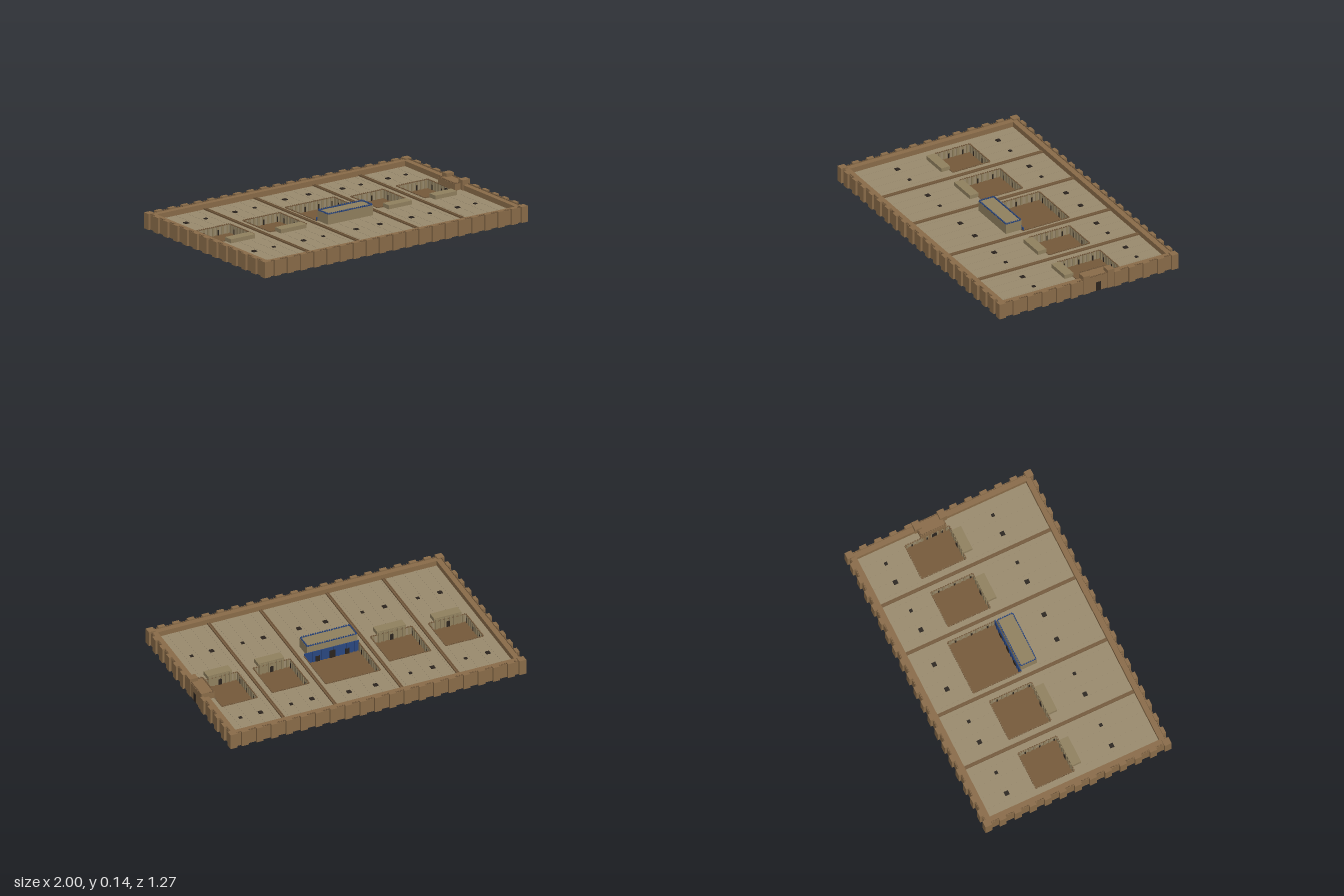
import * as THREE from 'three';
import { mergeGeometries } from 'three/addons/utils/BufferGeometryUtils.js';

const COLORS = {
  wall: 0x8a6c49, trim: 0x775c3e, roof: 0x9a8b6e, floor: 0x765a3a,
  facade: 0x91815f, dark: 0x2b241e, blue: 0x2a4780, base: 0x4c3a28, slab: 0x77746a,
};
const ROOF = 0.06;            // roof level
const WX = 0.985, WZ = 0.622; // outer faces of the enclosure
const T = 0.042;              // enclosure thickness

// Court bounds, the hall at its south side, and vent positions on the roof
const UNITS = [
  { court: [-0.89, -0.635, -0.24, 0.025], hall: [-0.86, -0.675, 0.085], vents: [-0.84, -0.69], vz: -0.415 },
  { court: [-0.53, -0.25, -0.25, 0.04], hall: [-0.49, -0.295, 0.1], vents: [-0.465, -0.315], vz: -0.42 },
  { court: [-0.16, 0.21, -0.315, 0.015], hall: [-0.15, 0.19, 0.125], vents: [-0.065, 0.115], vz: -0.45, throne: true },
  { court: [0.3, 0.55, -0.265, 0.025], hall: [0.34, 0.515, 0.085], vents: [0.355, 0.495], vz: -0.425 },
  { court: [0.655, 0.895, -0.275, 0.03], hall: [0.69, 0.855, 0.09], vents: [0.705, 0.84], vz: -0.43 },
];
const PARTITIONS = [-0.58, -0.2, 0.25, 0.6];

// Box from min/max bounds
function box(x0, x1, y0, y1, z0, z1) {
  return new THREE.BoxGeometry(x1 - x0, y1 - y0, z1 - z0)
    .translate((x0 + x1) / 2, (y0 + y1) / 2, (z0 + z1) / 2);
}

// Row of stepped merlons from (xa, za) to (xb, zb), standing on y
function merlons(xa, za, xb, zb, y, h = 0.008, pitch = 0.018, d = 0.006) {
  const alongX = Math.abs(xb - xa) > Math.abs(zb - za);
  const len = Math.hypot(xb - xa, zb - za), n = Math.max(1, Math.round(len / pitch)), out = [];
  for (let i = 0; i < n; i++) {
    const t = (i + 0.5) / n, x = xa + (xb - xa) * t, z = za + (zb - za) * t;
    for (const [w, y0, y1] of [[0.72, 0, 0.55], [0.32, 0.55, 1]]) {
      const a = (len / n) * w / 2, hx = alongX ? a : d / 2, hz = alongX ? d / 2 : a;
      out.push(box(x - hx, x + hx, y + h * y0, y + h * y1, z - hz, z + hz));
    }
  }
  return out;
}

// Merlons around a rectangle
function merlonRing(x0, x1, z0, z1, y, h, pitch) {
  return [
    ...merlons(x0, z0, x1, z0, y, h, pitch), ...merlons(x0, z1, x1, z1, y, h, pitch),
    ...merlons(x0, z0, x0, z1, y, h, pitch), ...merlons(x1, z0, x1, z1, y, h, pitch),
  ];
}

export function createModel() {
  const group = new THREE.Group();
  group.name = 'palaceCompound';
  const mats = {};
  for (const k in COLORS) mats[k] = new THREE.MeshStandardMaterial({ color: COLORS[k] });
  const add = (name, mat, geos, parent = group) => {
    const mesh = new THREE.Mesh(mergeGeometries(geos), mats[mat]);
    mesh.name = name;
    parent.add(mesh);
  };

  // Ground slab and roof block with the courts cut out
  add('groundSlab', 'base', [box(-WX + 0.01, WX - 0.01, 0.001, 0.003, -WZ + 0.01, WZ - 0.01)]);
  const rx = WX - T / 2, rz = WZ - T / 2;
  const shape = new THREE.Shape([[-rx, -rz], [rx, -rz], [rx, rz], [-rx, rz]].map(p => new THREE.Vector2(...p)));
  for (const { court: [x0, x1, z0, z1] } of UNITS) {
    shape.holes.push(new THREE.Path([[x0, -z0], [x0, -z1], [x1, -z1], [x1, -z0]].map(p => new THREE.Vector2(...p))));
  }
  const roof = new THREE.ExtrudeGeometry(shape, { depth: ROOF - 0.003, bevelEnabled: false });
  roof.rotateX(-Math.PI / 2).translate(0, 0.003, 0);
  add('roof', 'roof', [roof]);

  // Low roof ribs, broken where they meet a court or hall
  const ribs = [];
  for (let x = -0.88; x < 0.92; x += 0.08) {
    const hit = UNITS.find(u => x > u.court[0] - 0.012 && x < u.court[1] + 0.012);
    const spans = hit ? [[-0.58, hit.court[2] - 0.01], [hit.hall[2] + 0.01, 0.58]] : [[-0.58, 0.58]];
    for (const [a, b] of spans) ribs.push(box(x - 0.002, x + 0.002, ROOF - 0.001, ROOF + 0.001, a, b));
  }
  add('roofRibs', 'roof', ribs);

  // Enclosure wall with parapet
  const top = 0.094, walls = [];
  for (const s of [-1, 1]) {
    const z = s * (WZ - T / 2), x = s * (WX - T / 2);
    walls.push(box(-WX, WX, 0, top, z - T / 2, z + T / 2));
    walls.push(box(x - T / 2, x + T / 2, 0, top, -WZ + T, WZ - T));
  }
  add('enclosureWall', 'wall', walls);
  add('enclosureMerlons', 'trim', merlonRing(-WX + 0.005, WX - 0.005, -WZ + 0.005, WZ - 0.005, top, 0.008));

  // Buttresses on all four sides and at the corners
  const buttresses = [], bw = 0.023, bh = 0.103;
  for (const s of [-1, 1]) {
    for (let i = 0; i < 19; i++) {
      const x = -0.9 + 0.1 * i, z = s * (WZ + 0.003);
      buttresses.push(box(x - bw, x + bw, 0, bh, z - 0.012, z + 0.012));
    }
    for (let i = 0; i < 11; i++) {
      const z = -0.515 + 0.103 * i, x = s * (WX + 0.003);
      if (s > 0 && z > -0.18 && z < 0.03) continue;
      buttresses.push(box(x - 0.012, x + 0.012, 0, bh, z - bw, z + bw));
    }
    for (const t of [-1, 1]) {
      const x = s * 0.977, z = t * 0.614;
      buttresses.push(box(x - bw, x + bw, 0, bh, z - bw, z + bw));
    }
  }
  add('buttresses', 'wall', buttresses);

  // Partition walls: two thin ridges with a dark channel between
  add('partitionWalls', 'trim', PARTITIONS.flatMap(x => [-1, 1].map(s =>
    box(x + s * 0.007 - 0.003, x + s * 0.007 + 0.003, 0, ROOF + 0.01, -0.585, 0.585))));
  add('partitionChannels', 'trim', PARTITIONS.map(x => box(x - 0.004, x + 0.004, 0, ROOF + 0.006, -0.585, 0.585)));

  // Courts with halls
  UNITS.forEach((u, i) => {
    const unit = new THREE.Group();
    unit.name = u.throne ? 'throneCourt' : 'court' + (i + 1);
    group.add(unit);
    const [x0, x1, z0, z1] = u.court, [h0, h1, hz] = u.hall;
    add('courtFloor', 'floor', [box(x0, x1, 0.002, 0.006, z0, z1)], unit);
    add('courtUnderside', 'slab', [box(x0, x1, 0, 0.002, z0, z1)], unit);

    // Pilasters and dark niches around the court walls
    const pil = [], niche = [], nx = Math.round((x1 - x0) / 0.035), nz = Math.round((z1 - z0) / 0.035);
    for (let k = 0; k < nx; k++) {
      const x = x0 + (x1 - x0) * (k + 0.5) / nx;
      pil.push(box(x - 0.008, x + 0.008, 0, ROOF, z0 - 0.002, z0 + 0.004));
      if (x < h0 || x > h1) pil.push(box(x - 0.008, x + 0.008, 0, ROOF, z1 - 0.004, z1 + 0.002));
      if (k % 3 === 1) niche.push(box(x - 0.005, x + 0.005, 0, 0.04, z0, z0 + 0.005));
    }
    for (let k = 0; k < nz; k++) {
      const z = z0 + (z1 - z0) * (k + 0.5) / nz;
      for (const x of [x0, x1]) {
        pil.push(box(x - 0.004, x + 0.004, 0, ROOF, z - 0.008, z + 0.008));
        if (k % 3 === 1) niche.push(box(x - 0.005, x + 0.005, 0, 0.04, z - 0.005, z + 0.005));
      }
    }
    add('courtPilasters', 'facade', pil, unit);
    add('courtMerlons', 'trim', merlonRing(x0, x1, z0, z1, ROOF, 0.007, 0.016), unit);

    // Hall rising above the roof on the south side
    const hh = u.throne ? 0.125 : 0.086, mid = (h0 + h1) / 2;
    add('hall', 'facade', [box(h0, h1, 0, hh, z1 - 0.002, hz)], unit);
    if (u.throne) {
      add('glazedFacade', 'blue', [box(x0, x1, 0.006, 0.082, z1 - 0.006, z1 - 0.001)], unit);
      add('glazedMerlons', 'blue', merlonRing(h0 + 0.003, h1 - 0.003, z1 + 0.002, hz - 0.003, hh, 0.01, 0.016), unit);
      const ribsBlue = [];
      for (let k = 0; k < 12; k++) {
        const x = h0 + (h1 - h0) * (k + 0.5) / 12;
        ribsBlue.push(box(x - 0.006, x + 0.006, 0.006, 0.084, z1 - 0.009, z1 - 0.004));
      }
      add('glazedPilasters', 'blue', ribsBlue, unit);
      for (const d of [-0.1, 0, 0.1]) {
        const w = d ? 0.014 : 0.02;
        niche.push(box(mid + d - w, mid + d + w, 0.006, d ? 0.045 : 0.06, z1 - 0.011, z1 - 0.004));
      }
    } else {
      const posts = [];
      for (let k = 0; k < 6; k++) {
        const x = h0 + (h1 - h0) * (k + 0.5) / 6;
        posts.push(box(x - 0.007, x + 0.007, 0, hh - 0.008, z1 - 0.007, z1));
      }
      add('hallPilasters', 'facade', posts, unit);
      niche.push(box(mid - 0.012, mid + 0.012, 0.006, 0.045, z1 - 0.009, z1));
    }
    add('doorsAndNiches', 'dark', niche, unit);

    // Roof vents, one larger than the other
    add('roofVents', 'dark', u.vents.flatMap((x, k) => [u.vz, 0.303].map(z => {
      const r = k && !u.throne ? 0.01 : 0.014;
      return box(x - r, x + r, ROOF, ROOF + 0.005, z - r, z + r);
    })), unit);
  });

  // Gatehouse on the left side: block, twin towers and doorway
  const gate = new THREE.Group();
  gate.name = 'gatehouse';
  group.add(gate);
  add('gateBlock', 'wall', [box(0.895, 0.988, 0, 0.102, -0.165, 0.012)], gate);
  add('gateMerlons', 'trim', merlonRing(0.899, 0.984, -0.161, 0.008, 0.102, 0.008, 0.016), gate);
  add('gateTowers', 'wall', [-0.16, 0.012].map(z => box(0.938, 0.994, 0, 0.125, z - 0.023, z + 0.023)), gate);
  add('gateDoors', 'dark', [
    box(0.98, 0.99, 0, 0.06, -0.09, -0.056), box(0.89, 0.9, 0.006, 0.055, -0.09, -0.056)], gate);

  return group;
}
